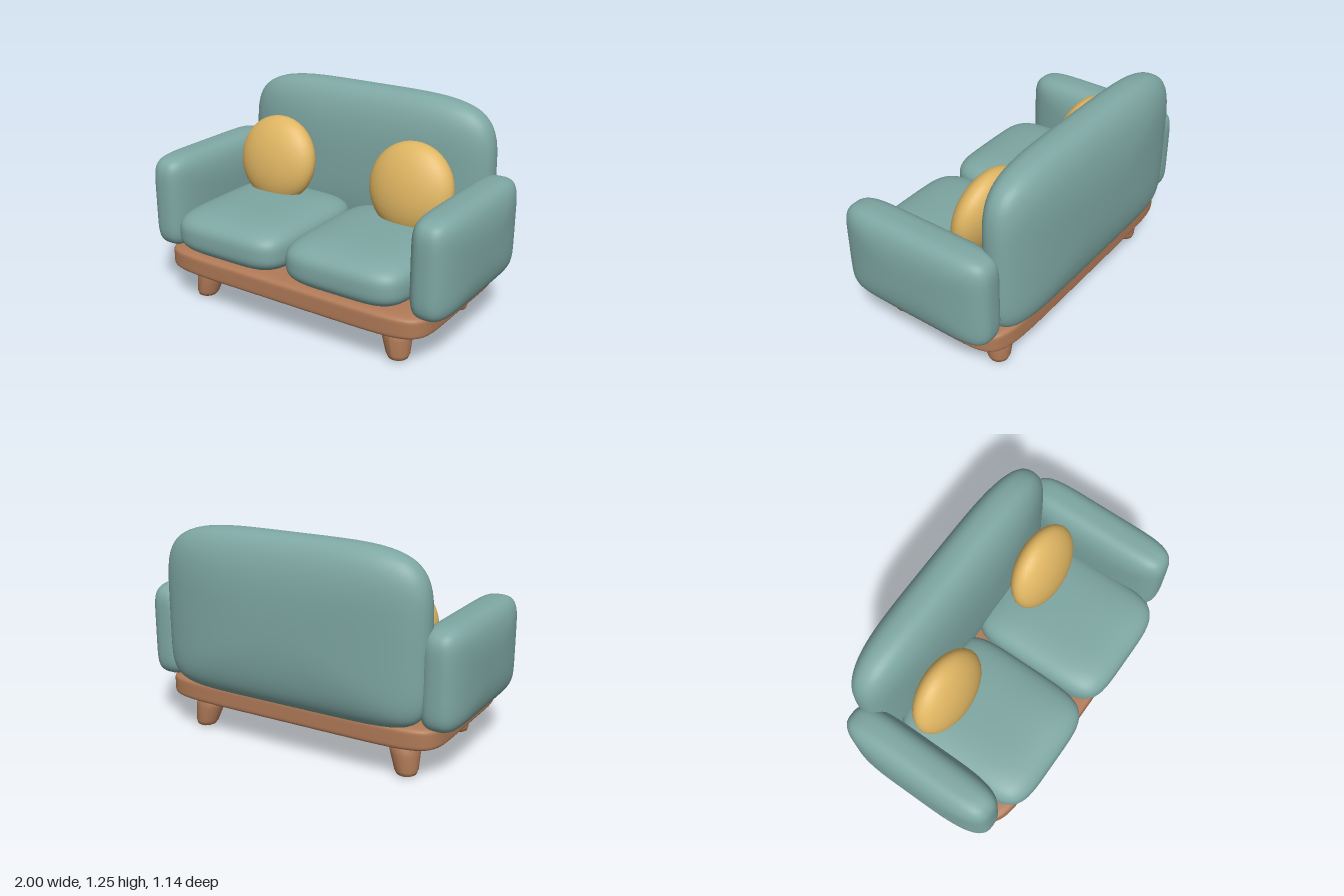
import * as THREE from 'three';
import { mergeVertices } from 'three/addons/utils/BufferGeometryUtils.js';

const teal = new THREE.MeshStandardMaterial({ name: 'teal fabric', color: 0x7ea7a3 });
const wood = new THREE.MeshStandardMaterial({ name: 'brown wood', color: 0xb07a57 });
const gold = new THREE.MeshStandardMaterial({ name: 'golden fabric', color: 0xdfb562 });

// Puffy block filling the box min..max. "axis" is its thickness direction;
// "outline" sets how square the face is (low = lower half), "edge" how square its rim is.
function puffy(name, material, min, max, { axis, outline, low = outline, edge }) {
  const geo = new THREE.BoxGeometry(2, 2, 2, 22, 22, 22);
  geo.deleteAttribute('normal');
  geo.deleteAttribute('uv');
  const pos = geo.attributes.position;
  for (let i = 0; i < pos.count; i++) {
    // ease the grid so points gather near the rounded edges
    const v = [pos.getX(i), pos.getY(i), pos.getZ(i)].map((c) => Math.sin(c * 1.2) / Math.sin(1.2));
    const a = v.map(Math.abs);
    const [m, n] = [0, 1, 2].filter((k) => k !== axis);
    const p = v[1] < 0 ? low : outline;
    const face = (a[m] ** p + a[n] ** p) ** (1 / p);
    const s = (face ** edge + a[axis] ** edge) ** (-1 / edge);
    const q = v.map((c, k) => (min[k] + max[k]) / 2 + (c * s * (max[k] - min[k])) / 2);
    pos.setXYZ(i, ...q);
  }
  const smooth = mergeVertices(geo, 1e-5);
  smooth.computeVertexNormals();
  const mesh = new THREE.Mesh(smooth, material);
  mesh.name = name;
  return mesh;
}

// Tapered round-tipped leg, leaning outwards from (x, z) at the frame
function leg(name, x, z, leanX, leanZ) {
  const profile = [[0, 0], [0.035, 0.002], [0.055, 0.012], [0.066, 0.035], [0.082, 0.12], [0.096, 0.22], [0, 0.22]];
  const geo = new THREE.LatheGeometry(profile.map(([r, y]) => new THREE.Vector2(r, y)), 16);
  const pos = geo.attributes.position;
  for (let i = 0; i < pos.count; i++) {
    const t = 1 - pos.getY(i) / 0.2;
    pos.setX(i, pos.getX(i) + x + leanX * t);
    pos.setZ(i, pos.getZ(i) + z + leanZ * t);
  }
  geo.computeVertexNormals();
  const mesh = new THREE.Mesh(geo, wood);
  mesh.name = name;
  return mesh;
}

export function createModel() {
  const sofa = new THREE.Group();
  sofa.name = 'sofa';

  // Wooden frame
  sofa.add(puffy('baseFrame', wood, [-0.87, 0.185, -0.47], [0.87, 0.33, 0.52],
    { axis: 1, outline: 8, edge: 8 }));

  // Backrest, squarer towards the seat
  sofa.add(puffy('backrest', teal, [-0.815, 0.285, -0.575], [0.815, 1.245, -0.22],
    { axis: 2, outline: 4.6, low: 7, edge: 2.6 }));

  for (const side of [-1, 1]) {
    const label = side > 0 ? 'left' : 'right';
    const span = (a, b) => (side > 0 ? [a, b] : [-b, -a]);

    const [a0, a1] = span(0.72, 1);
    sofa.add(puffy(label + 'Armrest', teal, [a0, 0.295, -0.455], [a1, 0.86, 0.49],
      { axis: 0, outline: 7, edge: 3 }));

    const [c0, c1] = span(0, 0.76);
    sofa.add(puffy(label + 'SeatCushion', teal, [c0, 0.315, -0.31], [c1, 0.6, 0.57],
      { axis: 1, outline: 5, edge: 3.2 }));

    // Round throw pillow leaning on the backrest
    const pillow = new THREE.Mesh(new THREE.SphereGeometry(1, 32, 20), gold);
    pillow.name = label + 'RoundPillow';
    pillow.scale.set(0.26, 0.26, 0.12);
    pillow.position.set(side * 0.458, 0.778, -0.1);
    pillow.rotation.x = -0.2;
    sofa.add(pillow);

    sofa.add(leg(label + 'FrontLeg', side * 0.635, 0.328, side * 0.033, 0.03));
    sofa.add(leg(label + 'BackLeg', side * 0.635, -0.297, side * 0.033, -0.03));
  }
  return sofa;
}
